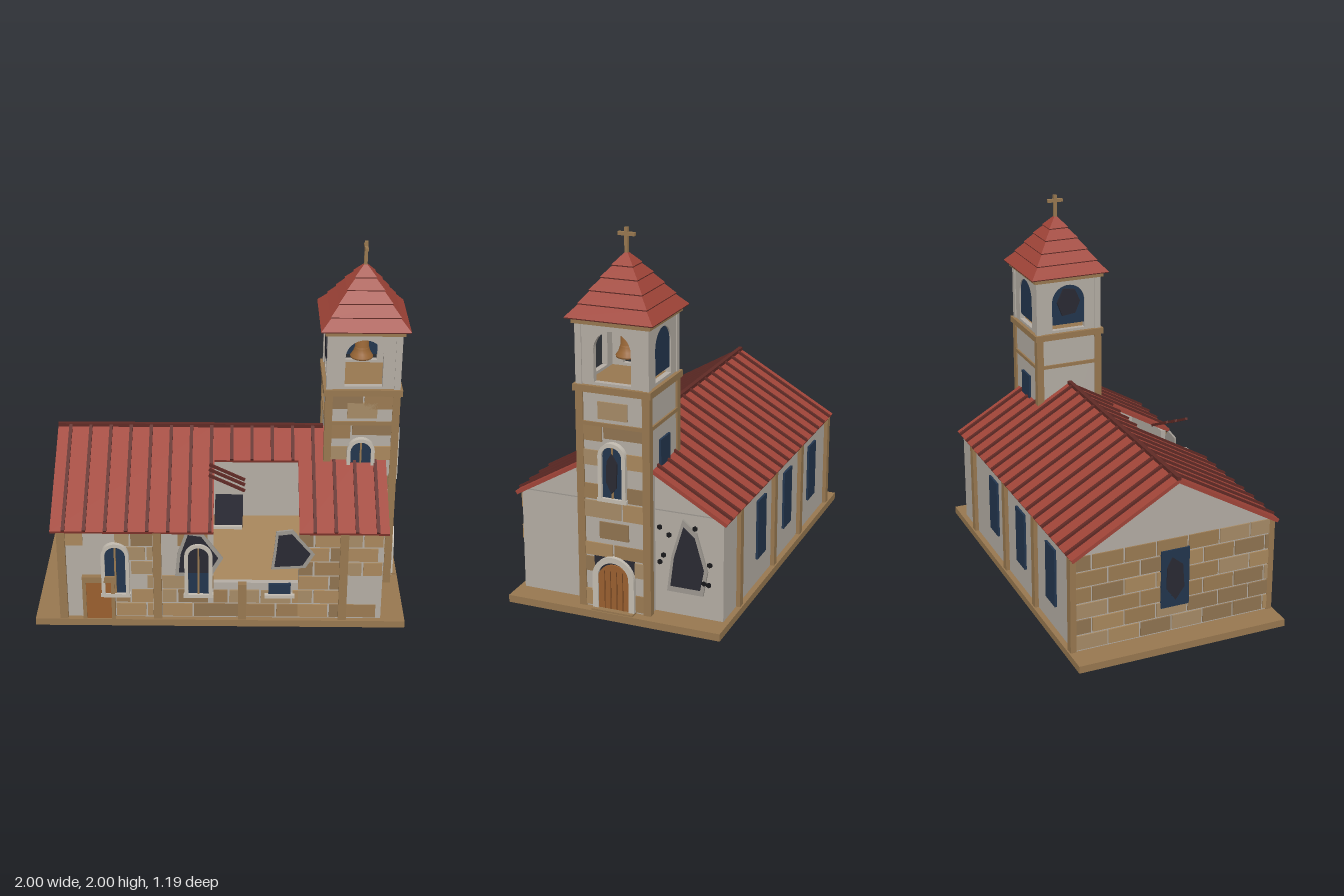
import * as THREE from 'three';

const mat = (color, extra = {}) => new THREE.MeshStandardMaterial({ color, ...extra });
const M = {
  wall: mat(0xb3aca3), trim: mat(0x97774f), glass: mat(0x22354d), frame: mat(0xc2bbb0),
  wood: mat(0x995f2f), plank: mat(0x6b4020), roof: mat(0xa04438, { flatShading: true }), rib: mat(0x5f2a25),
  dark: mat(0x292932), rubble: mat(0x9c978f), bronze: mat(0x9a6736), shot: mat(0x17171a),
  stones: [mat(0xa8875c), mat(0x9a7a52), mat(0x8f7350), mat(0xa58a66)],
};
let seed = 7;
const rnd = () => (seed = (seed * 16807) % 2147483647) / 2147483647;

function add(parent, name, geo, material, x = 0, y = 0, z = 0) {
  const m = new THREE.Mesh(geo, material);
  m.name = name;
  m.position.set(x, y, z);
  parent.add(m);
  return m;
}
// Box given by its limits
const box = (p, name, material, x0, x1, y0, y1, z0, z1) =>
  add(p, name, new THREE.BoxGeometry(x1 - x0, y1 - y0, z1 - z0), material, (x0 + x1) / 2, (y0 + y1) / 2, (z0 + z1) / 2);
// Group whose local +z looks outward from a wall
function face(parent, name, x, z, ry) {
  const g = new THREE.Group();
  g.name = name;
  g.position.set(x, 0, z);
  g.rotation.y = ry;
  parent.add(g);
  return g;
}
const poly = pts => new THREE.Shape(pts.map(([x, y]) => new THREE.Vector2(x, y)));
const slab = (shape, depth) => new THREE.ExtrudeGeometry(shape, { depth, bevelEnabled: false, curveSegments: 14 });

// Round-topped outline
function arch(u, w, y0, y1, Type = THREE.Shape) {
  const s = new Type(), r = w / 2;
  s.moveTo(u - r, y0);
  s.lineTo(u + r, y0);
  s.lineTo(u + r, y1 - r);
  s.absarc(u, y1 - r, r, 0, Math.PI, false);
  s.closePath();
  return s;
}
function archFrame(p, name, u, w, y0, y1, t, z, depth) {
  const s = arch(u, w, y0, y1);
  s.holes.push(arch(u, w - 2 * t, y0 - 0.0001 + 0.001, y1 - t, THREE.Path));
  add(p, name, slab(s, depth), M.frame, 0, 0, z);
}
function archWindow(p, u, y0, y1, glassTop = y1) {
  if (glassTop < y1) box(p, 'windowGlass', M.glass, u - 0.06, u + 0.06, y0, glassTop, -0.02, 0.014);
  else {
    add(p, 'windowGlass', slab(arch(u, 0.13, y0, y1 - 0.01), 0.03), M.glass, 0, 0, -0.016);
    archFrame(p, 'windowFrame', u, 0.15, y0, y1, 0.02, 0, 0.03);
    box(p, 'windowBar', M.trim, u - 0.005, u + 0.005, y0, y1 - 0.02, 0.012, 0.02);
  }
  box(p, 'windowSill', M.frame, u - 0.08, u + 0.08, y0 - 0.01, y0 + 0.01, 0, 0.03);
}
// Ragged breach: dark opening over a larger broken rim
function breach(p, pts, z = 0.014, grow = 1.22) {
  const cx = pts.reduce((a, q) => a + q[0], 0) / pts.length, cy = pts.reduce((a, q) => a + q[1], 0) / pts.length;
  const rim = pts.map(([x, y]) => [cx + (x - cx) * grow, cy + (y - cy) * grow]);
  if (grow > 1) add(p, 'breachRim', slab(poly(rim), 0.012), M.rubble, 0, 0, z - 0.012);
  add(p, 'breachOpening', slab(poly(pts), 0.012), M.dark, 0, 0, z - 0.006);
}
// Courses of thin facing stones, some missing
function stones(p, u0, u1, y0, rows, keep, h = 0.088, w = 0.17) {
  for (let r = 0; r < rows; r++) {
    for (let u = u0 - (r % 2) * w * 0.5; u < u1 - 0.01; u += w) {
      const a = Math.max(u, u0), b = Math.min(u + w - 0.01, u1), v = rnd(), c = Math.floor(rnd() * 4);
      if (b - a > 0.02 && v < keep) box(p, 'facingStone', M.stones[c], a, b, y0 + r * h, y0 + (r + 1) * h - 0.01, -0.005, 0.008);
    }
  }
}

function buildNave(g) {
  box(g, 'base', M.trim, -1, 1, 0, 0.04, -0.59, 0.59);
  box(g, 'floor', M.stones[0], -0.84, 0.85, 0.04, 0.05, -0.54, 0.54);
  box(g, 'backWall', M.wall, -0.86, 0.87, 0.04, 0.6, -0.56, -0.53);
  // Front wall with the collapsed bay
  const front = poly([[-0.86, 0.04], [0.87, 0.04], [0.87, 0.585], [0.42, 0.585], [0.42, 0.26], [-0.035, 0.26], [-0.035, 0.585], [-0.86, 0.585]]);
  add(g, 'frontWall', slab(front, 0.03), M.wall, 0, 0, 0.53);
  // Gable ends
  const gable = poly([[-0.56, 0.04], [0.56, 0.04], [0.56, 0.59], [0, 0.91], [-0.56, 0.59]]);
  const right = face(g, 'rightGable', 0.87, 0, Math.PI / 2), left = face(g, 'leftGable', -0.86, 0, -Math.PI / 2);
  for (const f of [right, left]) add(f, 'gableWall', slab(gable, 0.03), M.wall, 0, 0, -0.03);
  box(right, 'gableLine', M.rubble, -0.56, 0.56, 0.597, 0.603, 0, 0.004);
  breach(right, [[0.35, 0.53], [0.41, 0.48], [0.46, 0.31], [0.44, 0.2], [0.28, 0.2], [0.3, 0.36]]);
  for (const [u, y] of [[0.22, 0.51], [0.27, 0.475], [0.41, 0.53], [0.24, 0.36], [0.385, 0.355], [0.49, 0.345], [0.22, 0.32], [0.46, 0.24], [0.485, 0.235]]) {
    add(right, 'shotHole', new THREE.CylinderGeometry(0.014, 0.014, 0.008, 6), M.shot, u, y, 0.012).rotation.x = Math.PI / 2;
  }
  stones(left, -0.55, 0.55, 0.05, 6, 1, 0.09, 0.18);
  box(left, 'windowGlass', M.glass, -0.08, 0.08, 0.19, 0.52, -0.02, 0.016);
  breach(left, [[-0.02, 0.48], [0.04, 0.43], [0.05, 0.3], [0, 0.23], [-0.05, 0.3], [-0.05, 0.42]], 0.016, 1);

  // Front facing, windows and side door
  const f = face(g, 'frontFace', 0, 0.56, 0), b = face(g, 'backFace', 0, -0.56, Math.PI);
  stones(f, -0.84, 0.86, 0.5, 1, 0, 0.08);
  box(f, 'facingStone', M.stones[0], -0.85, -0.73, 0.49, 0.57, -0.005, 0.008);
  stones(f, -0.56, -0.36, 0.05, 6, 0.75);
  stones(f, -0.31, -0.035, 0.05, 2, 1);
  stones(f, -0.31, -0.035, 0.226, 4, 0.45);
  stones(f, -0.035, 0.42, 0.05, 2, 1);
  stones(f, 0.42, 0.64, 0.05, 6, 0.8);
  stones(f, 0.68, 0.865, 0.05, 6, 0.8);
  archWindow(f, -0.56, 0.19, 0.51);
  archWindow(f, -0.115, 0.19, 0.51);
  archWindow(f, 0.32, 0.19, 0.51, 0.26);
  for (const x of [-0.56, -0.115, 0.32]) box(b, 'backWindow', M.glass, -x - 0.065, -x + 0.065, 0.18, 0.51, -0.02, 0.012);
  for (const x of [-0.845, -0.335, 0.12, 0.66]) {
    box(f, 'pilaster', M.trim, x - 0.022, x + 0.022, 0.04, x === 0.12 ? 0.26 : 0.575, -0.01, 0.022);
    box(b, 'pilaster', M.trim, -x - 0.022, -x + 0.022, 0.04, 0.575, -0.01, 0.022);
  }
  box(f, 'sideDoor', M.wood, -0.72, -0.585, 0.04, 0.27, 0, 0.02);
  for (const x of [-0.74, -0.585]) box(f, 'doorJamb', M.trim, x, x + 0.02, 0.04, 0.29, 0, 0.028);
  box(f, 'doorLintel', M.trim, -0.74, -0.565, 0.27, 0.305, 0, 0.03);
  breach(f, [[-0.17, 0.56], [-0.1, 0.55], [-0.01, 0.42], [-0.06, 0.33], [-0.22, 0.33], [-0.21, 0.44]], 0.01);
  breach(f, [[0.31, 0.56], [0.38, 0.57], [0.48, 0.45], [0.44, 0.38], [0.29, 0.37], [0.3, 0.45]], 0.01);
}

function buildRoof(g) {
  const slope = Math.atan2(0.34, 0.59), len = 0.681, cut = 0.23;
  for (const side of [1, -1]) {
    const s = new THREE.Group();
    s.name = side > 0 ? 'frontRoof' : 'backRoof';
    s.position.y = 0.93;
    s.rotation.set(slope, side > 0 ? 0 : Math.PI, 0, 'YXZ');
    g.add(s);
    const panel = (x0, x1, l) => box(s, 'roofPanel', M.roof, Math.min(side * x0, side * x1), Math.max(side * x0, side * x1), -0.024, -0.004, 0, l);
    if (side > 0) {
      panel(-0.9, -0.035, len);
      panel(-0.035, 0.42, cut);
      panel(0.42, 0.895, len);
    } else panel(-0.9, 0.895, len);
    for (let i = 0; i < 16; i++) {
      const x = -0.83 + i * 0.111, open = side > 0 && x > -0.035 && x < 0.42;
      box(s, 'roofRib', M.rib, side * x - 0.009, side * x + 0.009, -0.006, 0.008, 0, open ? cut : len);
    }
  }
  box(g, 'ridge', M.rib, -0.9, 0.56, 0.918, 0.938, -0.012, 0.012);
  // Broken battens and the fallen panel in the opening
  for (const z of [0.335, 0.39, 0.455]) add(g, 'brokenBatten', new THREE.BoxGeometry(0.21, 0.014, 0.014), M.rib, 0.035, 0.812, z).rotation.z = -0.45;
  add(g, 'fallenPanel', new THREE.BoxGeometry(0.15, 0.015, 0.31), M.dark, 0.045, 0.6, 0.375).rotation.x = 0.04;
  box(g, 'brokenWallTop', M.frame, -0.035, 0.115, 0.583, 0.6, 0.525, 0.545);
  // Rubble on the floor
  for (const [x, z, r] of [[0.2, 0.32, 0.4], [0.215, 0.37, 0.9], [0.19, 0.45, 0.1], [0.36, 0.34, 0.7], [0.39, 0.38, 0.3], [0.38, 0.43, 1.1], [0.3, 0.48, 0.5]]) {
    add(g, 'rubble', new THREE.BoxGeometry(0.065, 0.03, 0.055), M.rubble, x, 0.07, z).rotation.set(0.2, r, 0.1);
  }
}

function buildTower(g) {
  const t = face(g, 'tower', 0.755, 0, 0);
  box(t, 'towerShaft', M.wall, -0.19, 0.19, 0.04, 1.22, -0.19, 0.19);
  for (const x of [-0.18, 0.18]) for (const z of [-0.18, 0.18]) {
    box(t, 'towerPost', M.trim, x - 0.02, x + 0.02, 0.04, 1.22, z - 0.02, z + 0.02);
    box(t, 'belfryPost', M.wall, x - 0.017, x + 0.017, 1.24, 1.56, z - 0.017, z + 0.017);
  }
  box(t, 'towerBand', M.trim, -0.2, 0.2, 1.03, 1.05, -0.2, 0.2);
  box(t, 'towerCornice', M.trim, -0.21, 0.21, 1.205, 1.24, -0.21, 0.21);
  const sides = [0, 1, 2, 3].map(i => face(t, 'towerSide', [0, 0.19, 0, -0.19][i], [0.19, 0, -0.19, 0][i], i * Math.PI / 2));
  // Facing stones on the two show sides: [bottom, top, left, right]
  const courses = [[0.05, 0.14, -0.16, -0.1], [0.05, 0.14, 0.1, 0.16], [0.24, 0.32, -0.16, -0.1], [0.24, 0.32, 0.1, 0.16], [0.33, 0.4, -0.16, -0.01], [0.33, 0.4, 0, 0.16],
    [0.43, 0.52, -0.08, 0.08], [0.54, 0.63, -0.16, 0.04], [0.54, 0.63, 0.05, 0.16], [0.64, 0.72, -0.16, -0.07], [0.64, 0.72, 0.07, 0.16],
    [0.82, 0.9, -0.16, -0.07], [0.82, 0.9, 0.07, 0.16], [0.95, 1.03, -0.16, -0.06], [0.97, 1.03, -0.05, 0.16], [1.07, 1.16, -0.08, 0.08]];
  for (const [i, s] of [sides[0], sides[1]].entries()) {
    courses.forEach(([y0, y1, a, b], k) => box(s, 'facingStone', M.stones[k % 4], a, b, y0, y1, -0.005, 0.008));
    if (i === 0) stones(s, -0.16, 0.16, 1.125, 1, 1, 0.085);
    archWindow(s, 0, 0.65, 0.955);
  }
  box(sides[2], 'backWindow', M.glass, -0.06, 0.06, 0.65, 0.95, -0.01, 0.012);
  breach(sides[1], [[0, 0.9], [0.03, 0.85], [0.025, 0.72], [0, 0.69], [-0.03, 0.75], [-0.025, 0.86]], 0.025, 1);

  // Main door with planks
  const d = sides[1];
  box(d, 'doorRecess', M.dark, -0.11, 0.11, 0.04, 0.33, -0.005, 0.01);
  add(d, 'mainDoor', slab(arch(0, 0.18, 0.03, 0.295), 0.02), M.wood);
  archFrame(d, 'doorFrame', 0, 0.23, 0.03, 0.34, 0.03, 0, 0.03);
  for (const u of [-0.05, -0.017, 0.017, 0.05]) box(d, 'doorGroove', M.plank, u - 0.002, u + 0.002, 0.04, 0.26, 0.018, 0.022);
  box(d, 'doorStep', M.trim, -0.115, 0.115, 0.01, 0.05, 0, 0.05);

  // Belfry walls with arched openings; two are boarded
  sides.forEach((s, i) => {
    const w = poly([[-0.18, 1.24], [0.18, 1.24], [0.18, 1.56], [-0.18, 1.56]]);
    w.holes.push(arch(0, 0.2, 1.255, 1.52, THREE.Path));
    add(s, 'belfryWall', slab(w, 0.03), M.wall, 0, 0, -0.03);
    if (i > 1) add(s, 'belfryPanel', slab(arch(0, 0.2, 1.285, 1.52), 0.012), M.glass, 0, 0, -0.02);
  });
  breach(sides[3], [[-0.03, 1.5], [0.04, 1.49], [0.07, 1.42], [0.04, 1.35], [-0.04, 1.34], [-0.07, 1.42]], 0, 1);
  add(sides[3], 'panelHoleInside', slab(poly([[-0.03, 1.5], [0.04, 1.49], [0.07, 1.42], [0.04, 1.35], [-0.04, 1.34], [-0.07, 1.42]]), 0.01), M.dark, 0, 0, -0.023);
  const bell = [[0.001, 0.145], [0.03, 0.14], [0.036, 0.12], [0.038, 0.06], [0.048, 0.03], [0.062, 0.01], [0.06, 0], [0.05, 0.005], [0.03, 0.1], [0.001, 0.12]].reverse();
  add(t, 'bell', new THREE.LatheGeometry(bell.map(p => new THREE.Vector2(...p)), 20), mat(0x9a6736, { side: THREE.DoubleSide }), 0, 1.345, 0);
  add(t, 'clapper', new THREE.SphereGeometry(0.014, 10, 8), M.bronze, 0, 1.34, 0);
  add(t, 'bellHanger', new THREE.CylinderGeometry(0.008, 0.008, 0.09, 8), M.bronze, 0, 1.525, 0);

  // Stepped pyramid roof and cross
  box(t, 'roofPlate', M.trim, -0.21, 0.21, 1.55, 1.585, -0.21, 0.21);
  const half = [0.235, 0.185, 0.142, 0.1, 0.058], y = [1.582, 1.645, 1.705, 1.765, 1.82, 1.88];
  half.forEach((h, i) => {
    const top = i < 4 ? half[i + 1] - 0.008 : 0.004, hh = y[i + 1] - y[i];
    add(t, 'towerRoofTier', new THREE.CylinderGeometry(top * Math.SQRT2, h * Math.SQRT2, hh, 4), M.roof, 0, y[i] + hh / 2, 0).rotation.y = Math.PI / 4;
    box(t, 'towerRoofEdge', M.rib, -h + 0.002, h - 0.002, y[i] - 0.006, y[i] + 0.002, -h + 0.002, h - 0.002);
  });
  box(t, 'crossPost', M.trim, -0.009, 0.009, 1.85, 2, -0.009, 0.009);
  box(t, 'crossArm', M.trim, -0.009, 0.009, 1.958, 1.976, -0.045, 0.045);
}

export function createModel() {
  const g = new THREE.Group();
  g.name = 'church';
  buildNave(g);
  buildRoof(g);
  buildTower(g);
  return g;
}
